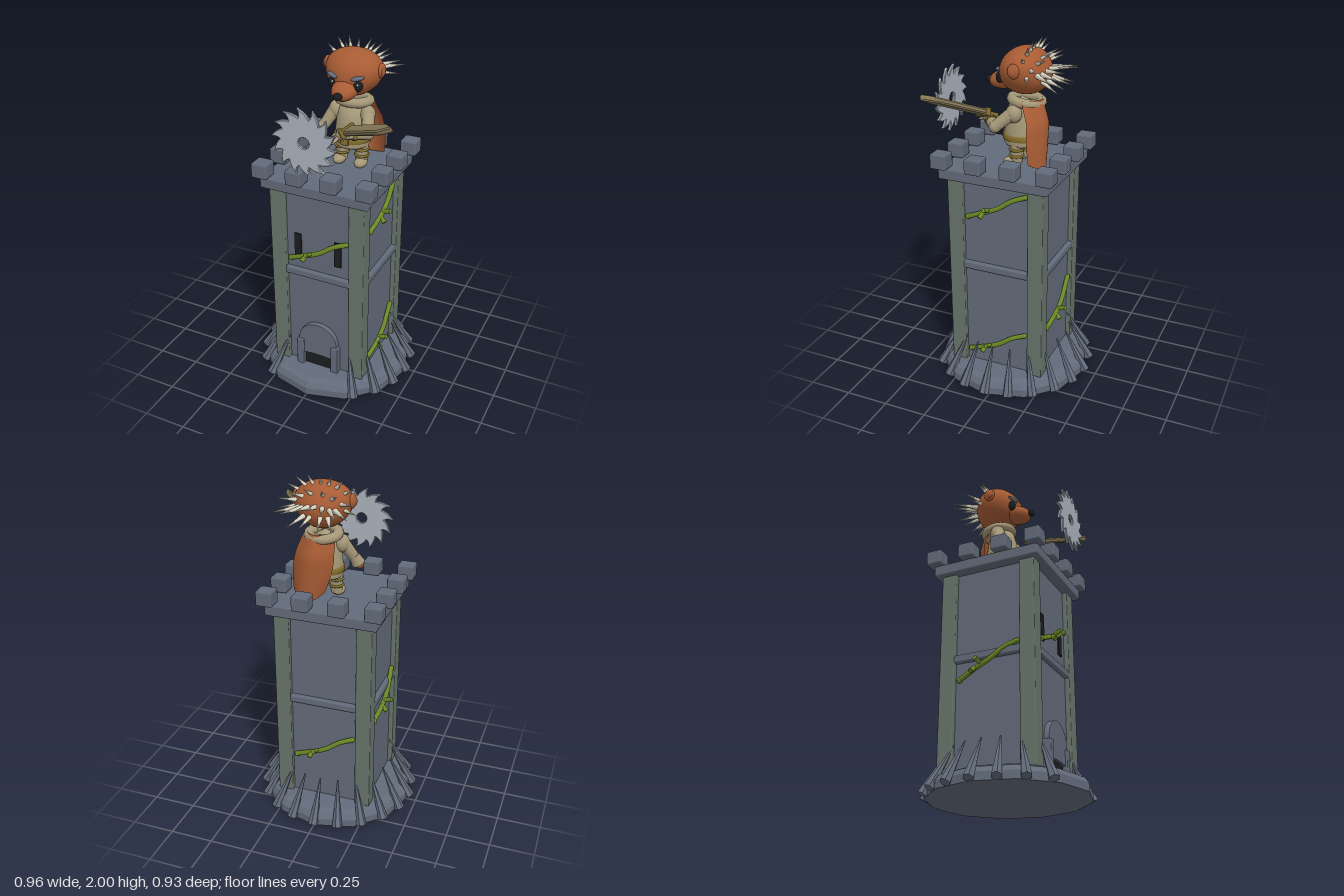
import * as THREE from 'three';
import { RoundedBoxGeometry } from 'three/addons/geometries/RoundedBoxGeometry.js';

const V = (p) => new THREE.Vector3(...p);
const paint = (name, color, extra = {}) => {
  const m = new THREE.MeshStandardMaterial({ color, ...extra });
  m.name = name;
  return m;
};

// Flat facets without touching the material
function faceted(geo) {
  const g = geo.index ? geo.toNonIndexed() : geo;
  g.computeVertexNormals();
  return g;
}

function add(parent, name, geo, mat, pos = [0, 0, 0], scale = [1, 1, 1], rot = [0, 0, 0]) {
  const mesh = new THREE.Mesh(geo, mat);
  mesh.name = name;
  mesh.position.set(...pos);
  mesh.scale.set(...scale);
  mesh.rotation.set(...rot);
  parent.add(mesh);
  return mesh;
}

// Tapered round bar from point a to point b
function rod(parent, name, mat, a, b, r0, r1, sides = 10, flat = false) {
  const from = V(a), to = V(b), dir = to.clone().sub(from);
  let geo = new THREE.CylinderGeometry(r1, r0, dir.length(), sides);
  if (flat) geo = faceted(geo);
  const mesh = add(parent, name, geo, mat, from.clone().add(to).multiplyScalar(0.5).toArray());
  mesh.quaternion.setFromUnitVectors(new THREE.Vector3(0, 1, 0), dir.normalize());
  return mesh;
}

const lathe = (pts, n) => new THREE.LatheGeometry(pts.map(([x, y]) => new THREE.Vector2(x, y)), n);
const ball = (w = 20, h = 14) => new THREE.SphereGeometry(1, w, h);

export function createModel() {
  const stone = paint('stone', 0x626b7a);
  const pillarMat = paint('mossy pillar', 0x66746a);
  const green = paint('vine green', 0x6b8a26);
  const fur = paint('brown fur', 0xa85c34, { side: THREE.DoubleSide });
  const bone = paint('bone', 0xd8d2c0);
  const steel = paint('steel', 0xaab2bc);
  const cloth = paint('beige cloth', 0xa59878);
  const brass = paint('brass', 0x85702e);
  const black = paint('black', 0x1c1d20);
  const bronze = paint('bronze blade', 0x877a58);

  const model = new THREE.Group();
  model.name = 'spikedTower';

  // ---------- Tower, centred slightly forward ----------
  const tower = new THREE.Group();
  tower.name = 'tower';
  tower.position.z = 0.022;
  model.add(tower);

  add(tower, 'base', faceted(lathe([[0, 0], [0.445, 0], [0.445, 0.045], [0.425, 0.075], [0.39, 0.09], [0, 0.09]], 12)), stone);
  add(tower, 'walls', new THREE.BoxGeometry(0.51, 1.17, 0.51), stone, [0, 0.67, 0]);
  for (const x of [-1, 1]) for (const z of [-1, 1])
    add(tower, 'pillar', new RoundedBoxGeometry(0.09, 1.17, 0.09, 1, 0.006), pillarMat, [x * 0.238, 0.67, z * 0.238]);
  add(tower, 'topSlab', new RoundedBoxGeometry(0.635, 0.065, 0.64, 1, 0.01), stone, [0, 1.278, 0]);

  // Battlements around the rim
  for (let i = 0; i < 4; i++) for (let j = 0; j < 4; j++) {
    if (i % 3 && j % 3) continue;
    add(tower, 'merlon', new RoundedBoxGeometry(0.094, 0.085, 0.094, 1, 0.009), stone,
      [-0.305 + i * 0.2033, 1.355, -0.308 + j * 0.2033]);
  }

  // Leaning spikes, with a gap before the door
  for (let i = 0; i < 20; i++) {
    if (Math.abs(i - 10) < 2) continue;
    const a = (i / 20) * Math.PI * 2, s = Math.sin(a), c = -Math.cos(a);
    rod(tower, 'baseSpike', stone, [s * 0.455, 0.012, c * 0.455], [s * 0.325, 0.25, c * 0.325], 0.03, 0.004, 6, true);
  }

  // One ledge and its vines per face: [height of the vine middle]
  const sides = [
    ['front', 0, [0.895]], ['left', Math.PI / 2, [0.25, 1.115]],
    ['back', Math.PI, [0.435]], ['right', -Math.PI / 2, [0.69]],
  ];
  for (const [label, turn, heights] of sides) {
    const face = new THREE.Group();
    face.name = label + 'Face';
    face.rotation.y = turn;
    tower.add(face);
    add(face, 'ledge', new RoundedBoxGeometry(0.4, 0.045, 0.04, 1, 0.01), stone, [0, 0.728, 0.262]);
    for (const y of heights) {
      const path = new THREE.CatmullRomCurve3([
        V([-0.165, y - 0.085, 0.268]), V([-0.08, y - 0.045, 0.282]), V([0.02, y, 0.285]),
        V([0.1, y + 0.055, 0.278]), V([0.175, y + 0.085, 0.266])]);
      add(face, 'vine', new THREE.TubeGeometry(path, 14, 0.014, 7), green);
      add(face, 'vineTip', ball(8, 6), green, [-0.165, y - 0.085, 0.268], [0.017, 0.017, 0.017]);
      add(face, 'vineTip', ball(8, 6), green, [0.175, y + 0.085, 0.266], [0.014, 0.014, 0.014]);
      rod(face, 'vineShoot', green, [-0.03, y - 0.02, 0.28], [-0.04, y + 0.0, 0.335], 0.01, 0.014, 7);
      rod(face, 'vineShoot', green, [-0.06, y - 0.03, 0.28], [-0.075, y - 0.06, 0.315], 0.011, 0.015, 7);
    }
  }

  // Arrow slits and arched doorway
  for (const x of [-0.125, 0.12])
    add(tower, 'arrowSlit', new THREE.BoxGeometry(0.042, 0.155, 0.009), black, [x, 0.895, 0.258]);
  add(tower, 'doorOpening', new THREE.BoxGeometry(0.2, 0.12, 0.02), black, [0, 0.145, 0.262]);
  const arch = new THREE.Shape();
  arch.moveTo(-0.118, 0.17);
  arch.lineTo(-0.118, 0.27);
  arch.absarc(0, 0.27, 0.118, Math.PI, 0, true);
  arch.lineTo(0.118, 0.17);
  arch.quadraticCurveTo(0, 0.19, -0.118, 0.17);
  add(tower, 'doorHood', new THREE.ExtrudeGeometry(arch, { depth: 0.03, bevelEnabled: true, bevelSize: 0.004, bevelThickness: 0.006, bevelSegments: 2, curveSegments: 20 }),
    stone, [0, 0, 0.25]);
  for (const x of [-1, 1])
    add(tower, 'doorPost', new RoundedBoxGeometry(0.045, 0.18, 0.05, 1, 0.006), stone, [x * 0.11, 0.175, 0.272]);

  // ---------- Quilled warrior ----------
  const hero = new THREE.Group();
  hero.name = 'quilledWarrior';
  hero.position.x = 0.055;
  model.add(hero);

  // Cranium narrows toward the jaw
  const skull = ball(32, 22), p = skull.attributes.position;
  for (let i = 0; i < p.count; i++) {
    const y = p.getY(i);
    p.setX(i, p.getX(i) * (1 + 0.16 * y));
    p.setZ(i, p.getZ(i) * (1 - 0.08 * y));
  }
  skull.computeVertexNormals();
  add(hero, 'head', skull, fur, [0, 1.833, -0.065], [0.157, 0.127, 0.14]);
  add(hero, 'snout', ball(), fur, [0, 1.773, 0.05], [0.072, 0.052, 0.095], [0.22, 0, 0]);
  add(hero, 'nose', ball(12, 8), black, [0, 1.762, 0.145], [0.026, 0.02, 0.022]);
  for (const s of [-1, 1]) {
    add(hero, 'eye', ball(14, 10), black, [s * 0.072, 1.8, 0.052], [0.026, 0.032, 0.022]);
    add(hero, 'eyeGlint', ball(8, 6), bone, [s * 0.072 + 0.006, 1.812, 0.072], [0.006, 0.006, 0.004]);
    add(hero, 'brow', ball(12, 8), stone, [s * 0.072, 1.842, 0.06], [0.037, 0.012, 0.016], [0, s * 0.4, s * 0.2]);
    add(hero, 'ear', ball(14, 10), fur, [s * 0.155, 1.86, -0.06], [0.02, 0.04, 0.034]);
    add(hero, 'innerEar', ball(12, 8), fur, [s * 0.168, 1.858, -0.052], [0.01, 0.025, 0.02]);
  }

  // Quills, by tip; mirrored when off the middle line
  const quillTips = [
    [0, 1.99, -0.125], [0.065, 2.0, -0.13], [0.13, 1.985, -0.13], [0.185, 1.94, -0.12],
    [0.05, 1.95, -0.225], [0.13, 1.925, -0.225], [0.205, 1.88, -0.2],
    [0, 1.865, -0.3], [0.07, 1.855, -0.305], [0.15, 1.835, -0.31], [0.2, 1.83, -0.28],
    [0.05, 1.765, -0.3], [0.12, 1.76, -0.29], [0.21, 1.82, -0.16],
  ];
  const core = V([0, 1.84, -0.06]);
  for (const tip of quillTips) for (const s of tip[0] ? [-1, 1] : [1]) {
    const t = V([tip[0] * s, tip[1], tip[2]]);
    rod(hero, 'quill', bone, core.clone().lerp(t, 0.45).toArray(), t.toArray(), 0.017, 0.001, 8);
  }

  // Body clothing
  add(hero, 'tunic', lathe([[0, 1.425], [0.09, 1.425], [0.1, 1.44], [0.097, 1.5], [0.088, 1.58], [0.07, 1.65], [0, 1.69]], 24), cloth, [0, 0, -0.045]);
  add(hero, 'belt', lathe([[0.094, 1.455], [0.105, 1.458], [0.104, 1.488], [0.092, 1.491]], 24), brass, [0, 0, -0.045]);
  add(hero, 'buckle', new RoundedBoxGeometry(0.045, 0.04, 0.012, 1, 0.004), brass, [0, 1.473, 0.06]);
  add(hero, 'collar', new THREE.TorusGeometry(0.078, 0.03, 10, 24), cloth, [0, 1.672, -0.07], [1, 1, 0.9], [Math.PI / 2 - 0.12, 0, 0]);

  // Legs and boots
  for (const s of [-1, 1]) {
    rod(hero, 'leg', cloth, [s * 0.06, 1.33, -0.035], [s * 0.055, 1.45, -0.04], 0.032, 0.042, 14);
    for (const y of [1.372, 1.408])
      add(hero, 'legStrap', new THREE.TorusGeometry(0.036, 0.008, 6, 16), brass, [s * 0.059, y, -0.036], [1, 1, 1], [Math.PI / 2, 0, 0]);
    add(hero, 'boot', ball(14, 10), cloth, [s * 0.064, 1.333, -0.012], [0.036, 0.028, 0.05]);
  }

  // Cape: curved sheet swept toward the hero's left
  const cape = new THREE.PlaneGeometry(1, 1, 14, 12), cp = cape.attributes.position;
  for (let i = 0; i < cp.count; i++) {
    const u = cp.getX(i) * 2, d = 0.5 - cp.getY(i);
    const half = 0.085 + 0.035 * Math.sin(Math.min(1, d * 1.5) * Math.PI / 2) - 0.03 * d * d * d;
    cp.setXYZ(i, 0.015 + 0.045 * d + u * half, 1.69 - d * (0.37 - 0.04 * u * u),
      -0.165 - 0.04 * Math.min(1, d * 3) + 0.085 * u * u * (1 - 0.25 * d));
  }
  cape.computeVertexNormals();
  add(hero, 'cape', cape, fur);

  // Arms: the right one hangs, the left one brings the sword forward
  for (const s of [-1, 1])
    add(hero, 'shoulder', ball(14, 10), cloth, [s * 0.092, 1.615, -0.035], [0.042, 0.05, 0.045]);
  rod(hero, 'rightUpperArm', cloth, [-0.1, 1.61, -0.03], [-0.145, 1.53, 0.005], 0.036, 0.03, 12);
  rod(hero, 'rightSleeve', cloth, [-0.145, 1.54, 0], [-0.165, 1.49, 0.02], 0.028, 0.038, 12);
  add(hero, 'rightPaw', ball(12, 8), fur, [-0.172, 1.49, 0.022], [0.026, 0.032, 0.03]);
  rod(hero, 'leftUpperArm', cloth, [0.1, 1.61, -0.02], [0.135, 1.545, 0.055], 0.036, 0.032, 12);
  add(hero, 'leftElbow', ball(12, 8), cloth, [0.135, 1.545, 0.055], [0.034, 0.034, 0.034]);
  rod(hero, 'leftForearm', cloth, [0.135, 1.545, 0.055], [0.04, 1.555, 0.135], 0.031, 0.028, 12);
  rod(hero, 'leftCuff', brass, [0.085, 1.55, 0.098], [0.068, 1.552, 0.112], 0.035, 0.034, 12);
  add(hero, 'leftHand', ball(12, 8), cloth, [0.025, 1.555, 0.145], [0.034, 0.03, 0.032]);
  for (const x of [-0.02, 0.005])
    rod(hero, 'finger', cloth, [x + 0.01, 1.55, 0.15], [x - 0.005, 1.525, 0.215], 0.014, 0.005, 8);

  // Sword, built along +y then aimed
  const sword = new THREE.Group();
  sword.name = 'sword';
  const along = V([0.335, 0.155, 0.2]).normalize();
  const across = V([-0.5, -0.35, 0.8]);
  across.addScaledVector(along, -across.dot(along)).normalize();
  sword.quaternion.setFromRotationMatrix(
    new THREE.Matrix4().makeBasis(across, along, across.clone().cross(along)));
  sword.position.set(0.08, 1.573, 0.135);
  model.add(sword);
  rod(sword, 'grip', brass, [0, -0.05, 0], [0, 0.04, 0], 0.013, 0.013, 10);
  add(sword, 'guard', new RoundedBoxGeometry(0.1, 0.026, 0.045, 1, 0.005), brass, [0, 0.045, 0]);
  const edge = new THREE.Shape([[-0.036, 0.05], [0.036, 0.05], [0.036, 0.37], [0, 0.457], [-0.036, 0.37]].map(([x, y]) => new THREE.Vector2(x, y)));
  add(sword, 'blade', new THREE.ExtrudeGeometry(edge, { depth: 0.014, bevelEnabled: true, bevelSize: 0.006, bevelOffset: -0.006, bevelThickness: 0.008, bevelSegments: 1 }),
    bronze, [0, 0, -0.007]);

  // Floating saw blade with raked teeth and a centre hole
  const saw = new THREE.Shape(), teeth = 14;
  for (let i = 0; i < teeth; i++) {
    const at = (r, k) => [r * Math.cos((i + k) / teeth * Math.PI * 2), r * Math.sin((i + k) / teeth * Math.PI * 2)];
    if (i === 0) saw.moveTo(...at(0.135, 0));
    saw.quadraticCurveTo(...at(0.165, 0.35), ...at(0.187, 0.95));
    saw.quadraticCurveTo(...at(0.155, 0.8), ...at(0.135, 1));
  }
  saw.holes.push(new THREE.Path().absarc(0, 0, 0.03, 0, Math.PI * 2, true));
  add(model, 'sawBlade', new THREE.ExtrudeGeometry(saw, { depth: 0.01, bevelEnabled: true, bevelSize: 0.004, bevelOffset: -0.004, bevelThickness: 0.004, bevelSegments: 1, curveSegments: 5 }),
    steel, [0, 1.607, 0.41]);

  return model;
}
